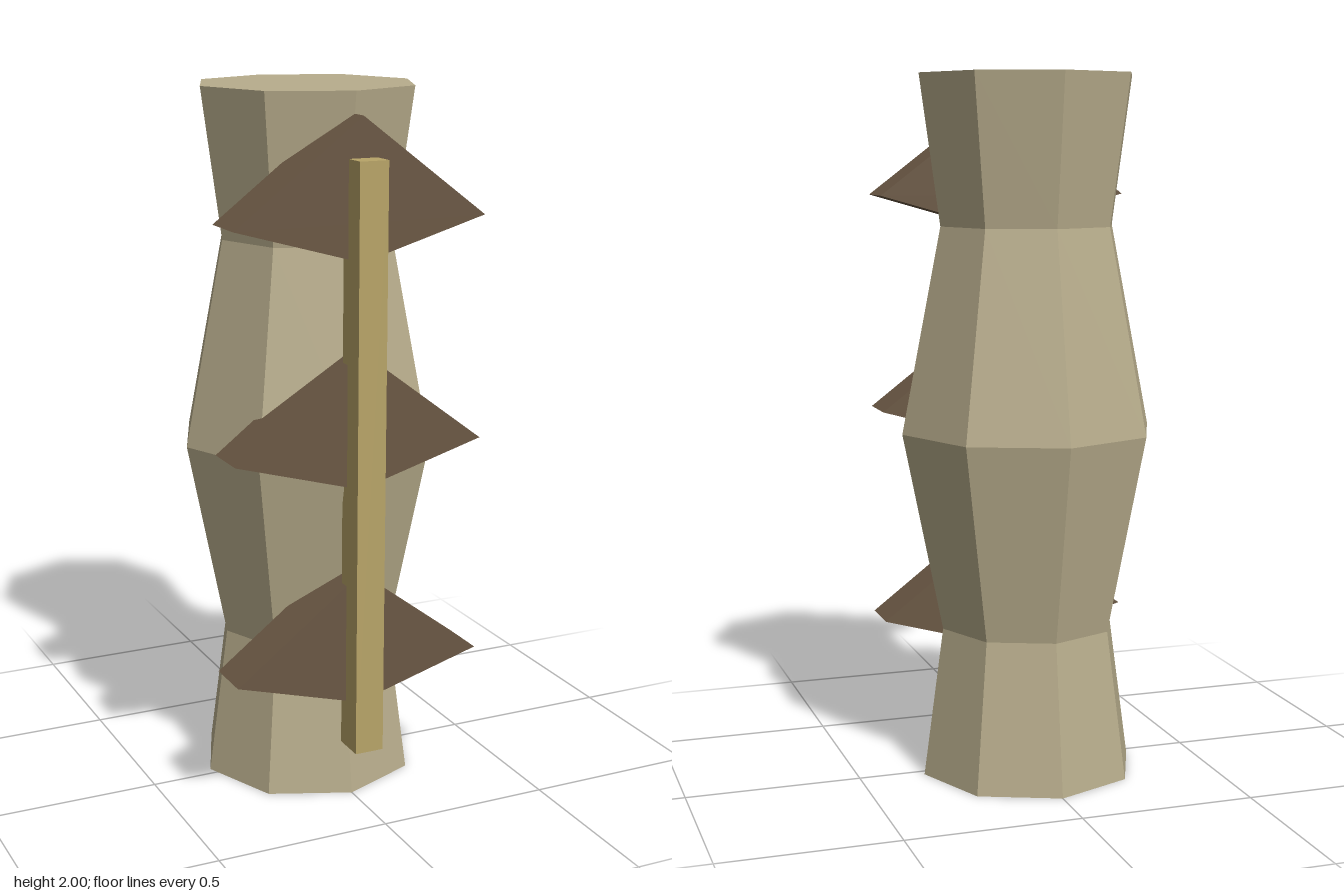
import * as THREE from 'three';

const material = (color) => new THREE.MeshStandardMaterial({ color, flatShading: true });

export function createModel() {
  const group = new THREE.Group();
  const add = (name, geometry, mat, x, y, z) => {
    const mesh = new THREE.Mesh(geometry, mat);
    mesh.name = name;
    mesh.position.set(x, y, z);
    group.add(mesh);
  };

  // Eight-sided trunk with two waists, closed at both ends
  const profile = [[0, 0], [0.314, 0], [0.255, 0.43], [0.37, 1], [0.255, 1.58], [0.314, 2], [0, 2]]
    .map(([r, y]) => new THREE.Vector2(r, y));
  add('trunk', new THREE.LatheGeometry(profile, 8), material(0xb8ad8c), 0, 0, -0.027);

  // Three kite-shaped plates set into the front of the trunk
  const kite = new THREE.Shape([[0.37, 0], [0, 0.28], [-0.37, 0], [0, -0.106]]
    .map(([x, y]) => new THREE.Vector2(x, y)));
  const plate = new THREE.ExtrudeGeometry(kite, { depth: 0.14, bevelEnabled: false });
  const brown = material(0x6b5844);
  [['lowerPlate', 0.405], ['middlePlate', 1.033], ['upperPlate', 1.66]]
    .forEach(([name, y]) => add(name, plate, brown, 0, y, 0.19));

  // Upright bar across the plates
  add('frontBar', new THREE.BoxGeometry(0.084, 1.655, 0.095), material(0xb8a468), 0, 1.0025, 0.3485);

  return group;
}
